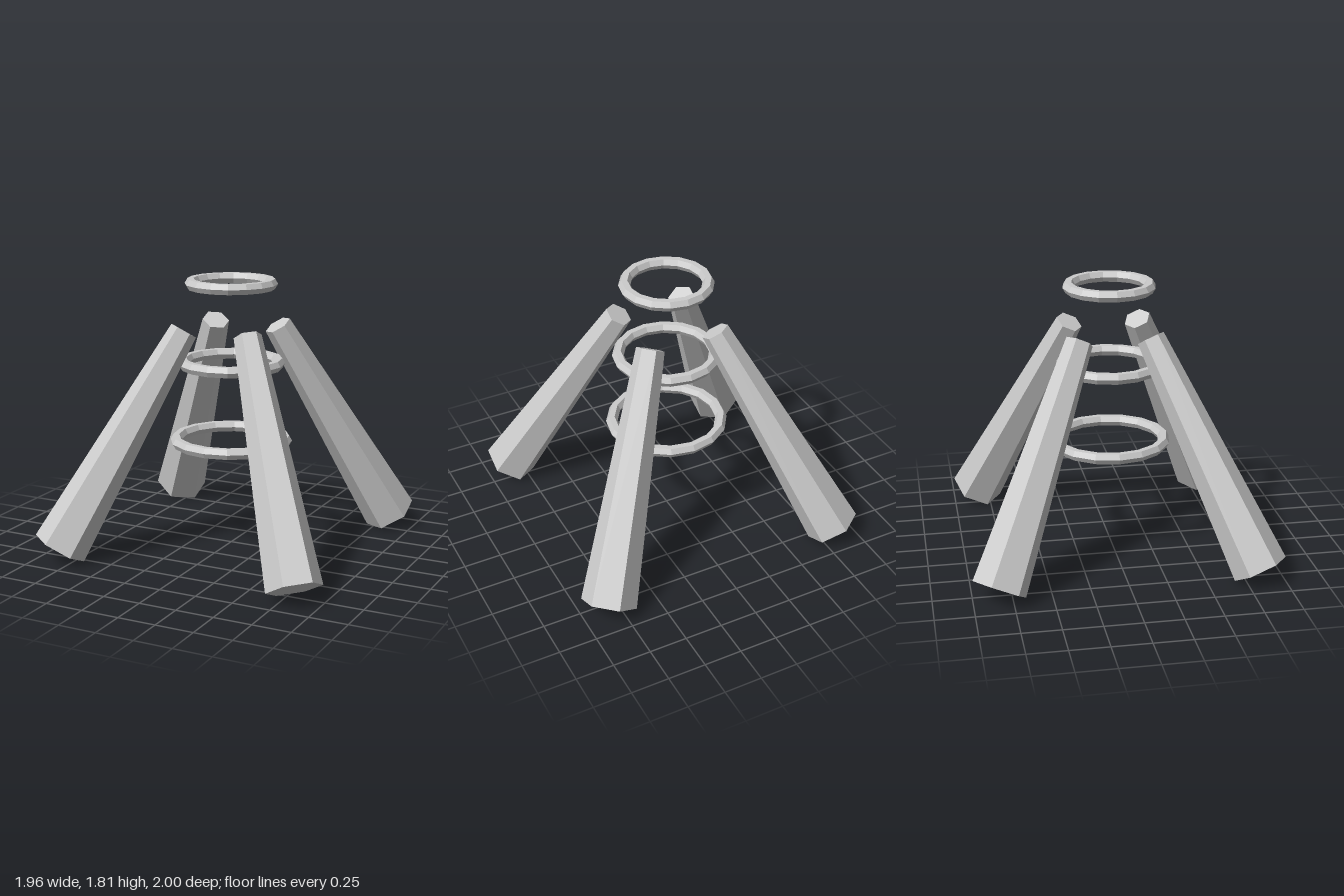
import * as THREE from 'three';

export function createModel() {
  const model = new THREE.Group();
  model.name = 'fourLeggedRingTower';

  const grey = new THREE.MeshStandardMaterial({ color: 0xcccccc });
  grey.name = 'lightGrey';
  grey.flatShading = true;

  // Four tapered hexagonal legs leaning in towards the axis
  const foot = 0.835, head = 0.23, footY = 0.09, headY = 1.48;
  const run = foot - head, rise = headY - footY;
  const length = Math.hypot(run, rise, run);
  const tiltX = Math.atan2(run, rise);
  const tiltZ = Math.asin(run / length);
  const legGeometry = new THREE.CylinderGeometry(0.091, 0.18, length, 6);
  for (const [name, sx, sz] of [
    ['frontLeftLeg', 1, 1],
    ['frontRightLeg', -1, 1],
    ['backLeftLeg', 1, -1],
    ['backRightLeg', -1, -1],
  ]) {
    const leg = new THREE.Mesh(legGeometry, grey);
    leg.name = name;
    leg.position.set((sx * (foot + head)) / 2, (footY + headY) / 2, (sz * (foot + head)) / 2);
    leg.rotation.set(-sz * tiltX, 0, sx * tiltZ);
    model.add(leg);
  }

  // Three level rings, shrinking upwards
  for (const [name, radius, y] of [
    ['lowerRing', 0.368, 0.722],
    ['middleRing', 0.317, 1.247],
    ['upperRing', 0.266, 1.773],
  ]) {
    const ring = new THREE.Mesh(new THREE.TorusGeometry(radius, 0.039, 6, 16), grey);
    ring.name = name;
    ring.rotation.x = Math.PI / 2;
    ring.position.y = y;
    model.add(ring);
  }

  return model;
}
